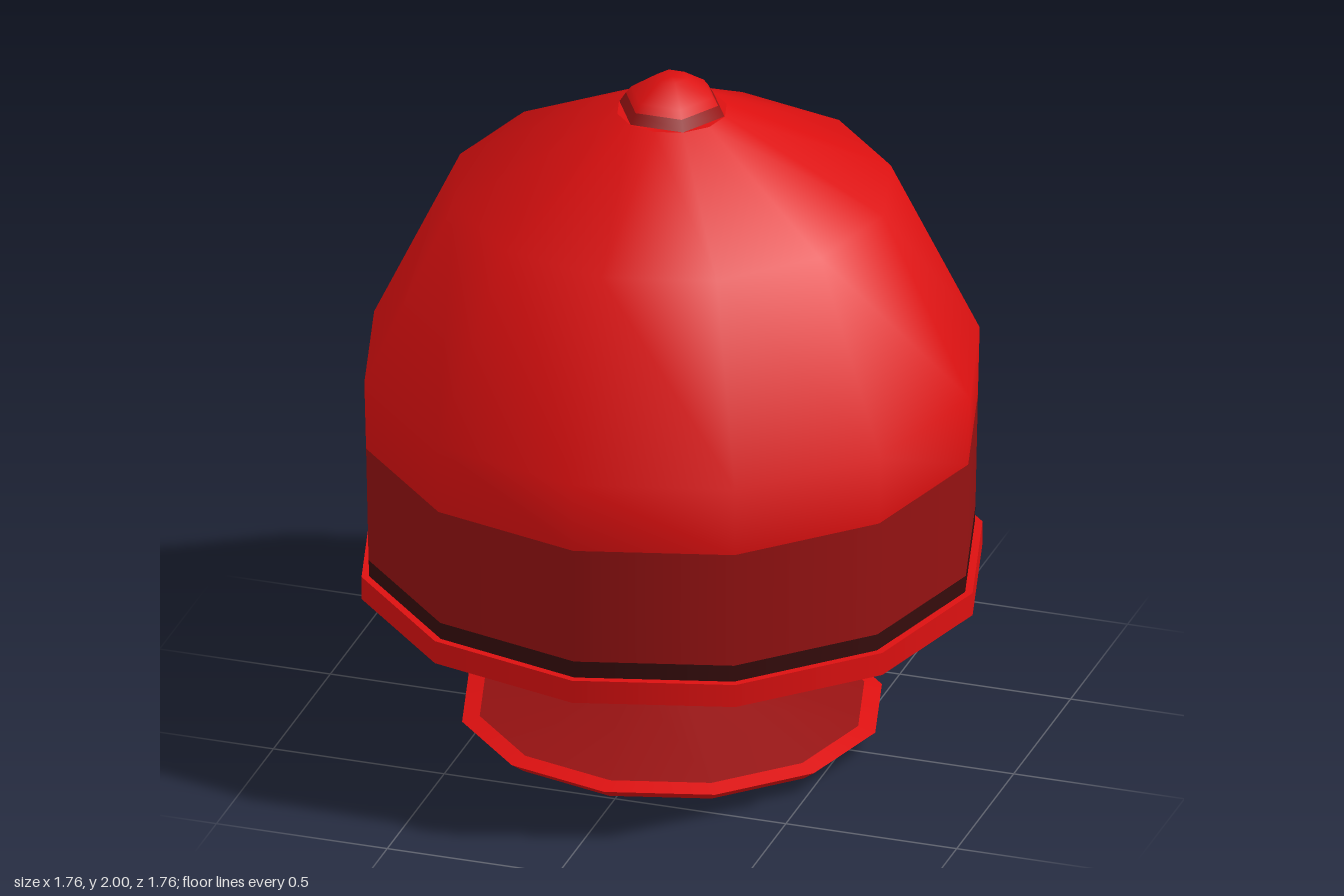
import * as THREE from 'three';

export function createModel() {
  const model = new THREE.Group();
  model.name = 'domedBell';

  const material = (name, color) => {
    const m = new THREE.MeshStandardMaterial({ color });
    m.name = name;
    return m;
  };
  const red = material('bright red', 0xdc1010);
  const darkRed = material('dark red', 0x961212);
  const shadowRed = material('blackish red', 0x360c0c);

  // Turned part: profile of [radius, height] pairs, listed from bottom to top.
  const turned = (name, mat, profile, sides = 12, start = 0) => {
    const points = profile.map(([r, y]) => new THREE.Vector2(r, y));
    const mesh = new THREE.Mesh(new THREE.LatheGeometry(points, sides, start), mat);
    mesh.name = name;
    model.add(mesh);
  };

  // Foot
  turned('footBottom', red, [[0, 0.005], [0.46, 0.005]]);
  turned('footEdge', red, [[0.46, 0.005], [0.55, 0.032], [0.595, 0.065]]);
  turned('footLip', red, [[0.595, 0.065], [0.545, 0.078]]);
  turned('footTop', darkRed, [[0.545, 0.078], [0.2, 0.16]]);

  // Stem
  turned('stem', darkRed, [[0.205, 0.155], [0.175, 0.38]]);

  // Underside of the body and its rim
  turned('undersideCentre', darkRed, [[0, 0.365], [0.17, 0.365], [0.63, 0.434]]);
  turned('undersideRing', red, [[0.63, 0.434], [0.88, 0.472]]);
  turned('rim', red, [[0.88, 0.472], [0.88, 0.54]]);
  turned('rimTop', red, [[0.88, 0.54], [0.855, 0.54]]);

  // Body bands and dome
  turned('grooveBand', shadowRed, [[0.858, 0.54], [0.86, 0.59]]);
  turned('lowerBand', darkRed, [[0.86, 0.59], [0.867, 0.935]]);
  turned('dome', red, [[0.867, 0.935], [0.872, 1.14], [0.62, 1.665], [0.155, 1.9]]);
  turned('domeCap', red, [[0.155, 1.9], [0, 1.9]]);

  // Six-sided knob
  turned('knobBase', darkRed, [[0.155, 1.898], [0.135, 1.93]], 6, Math.PI / 2);
  turned('knobTop', red, [[0.135, 1.93], [0.118, 1.952], [0.045, 2], [0, 2]], 6, Math.PI / 2);

  // Rest the foot on the ground
  model.children.forEach((part) => {
    if (part.name === 'footBottom' || part.name === 'footEdge') {
      const p = part.geometry.attributes.position;
      for (let i = 0; i < p.count; i++) if (p.getY(i) < 0.01) p.setY(i, 0);
    }
  });
  return model;
}
